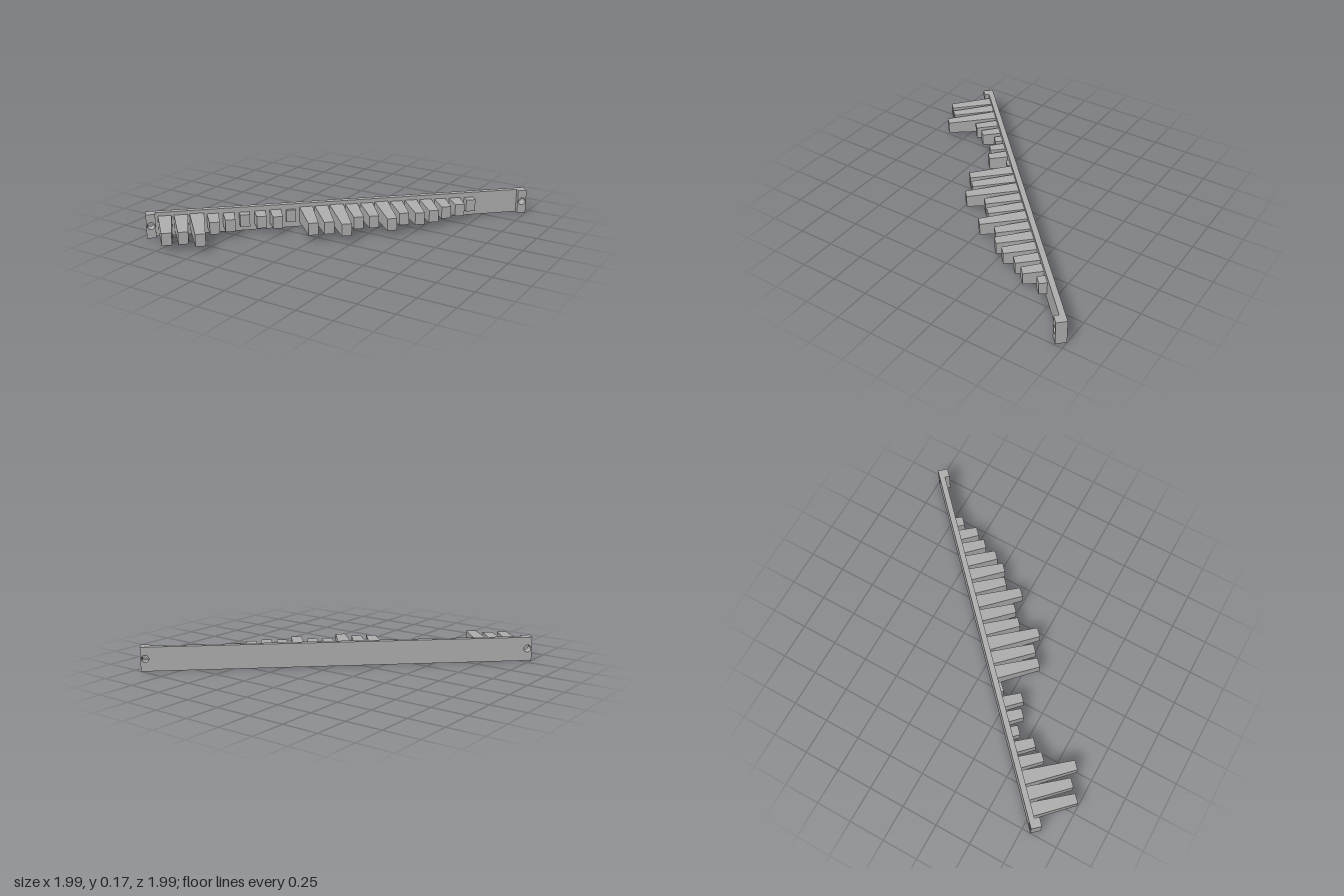
import * as THREE from 'three';

const HEIGHT = 0.166, MID = 0.086;
const START = -1.284, END = 1.373;    // bar ends along its own length
const BACK = -0.088, THICK = 0.038;   // back plane and plate thickness
const BLOCK_W = 0.062, BLOCK_D = 0.033;
const HOLE_R = 0.025;

// Flat slab from x0 to x1, pierced by round holes, running forward from z
function slab(x0, x1, z, depth, holes) {
  const s = new THREE.Shape();
  s.moveTo(x0, 0);
  s.lineTo(x1, 0);
  s.lineTo(x1, HEIGHT);
  s.lineTo(x0, HEIGHT);
  s.closePath();
  for (const hx of holes) {
    s.holes.push(new THREE.Path().absarc(hx, MID, HOLE_R, 0, Math.PI * 2, true));
  }
  const g = new THREE.ExtrudeGeometry(s, { depth, bevelEnabled: false, curveSegments: 16 });
  return g.translate(0, 0, z);
}

// Square pin with a draft angle: wider at the root than at the tip
function pin(length) {
  const w = 0.066, h = 0.084, draft = 0.042;
  const g = new THREE.BoxGeometry(w, h, length);
  const p = g.attributes.position;
  for (let i = 0; i < p.count; i++) {
    if (p.getZ(i) < 0) {
      p.setX(i, p.getX(i) + Math.sign(p.getX(i)) * draft * length);
      p.setY(i, p.getY(i) + Math.sign(p.getY(i)) * draft * length);
    }
  }
  g.computeVertexNormals();
  return g.translate(0, 0, length / 2);
}

export function createModel() {
  const root = new THREE.Group();
  root.name = 'combBar';
  const bar = new THREE.Group();
  bar.name = 'diagonalBar';
  bar.rotation.y = 0.7492;
  root.add(bar);

  const grey = new THREE.MeshStandardMaterial({ color: 0xb0b0b0 });
  grey.name = 'grey';
  const add = (geometry, name) => {
    const m = new THREE.Mesh(geometry, grey);
    m.name = name;
    bar.add(m);
    return m;
  };

  // Back plate and raised mounting blocks, with screw holes through both
  const front = BACK + THICK;
  const holeA = START + BLOCK_W / 2, holeB = END - BLOCK_W / 2;
  add(slab(START, END, BACK, THICK, [holeA, holeB]), 'backPlate');
  add(slab(START, START + BLOCK_W, front, BLOCK_D, [holeA]), 'rightMountingBlock');
  add(slab(END - BLOCK_W, END, front, BLOCK_D, [holeB]), 'leftMountingBlock');

  // Row of evenly spaced pins; reach is measured from the back plane
  const reach = [
    0.336, 0.336, 0.393, 0.196, 0.168, 0.09, 0.142, 0.168, 0.058, 0.336, 0.336,
    0.393, 0.28, 0.28, 0.352, 0.265, 0.28, 0.252, 0.196, 0.168, 0.09,
  ];
  reach.forEach((r, i) => {
    const m = add(pin(r - THICK), `pin${i + 1}`);
    m.position.set(-1.159 + 0.1057 * i, MID, front);
  });
  return root;
}
